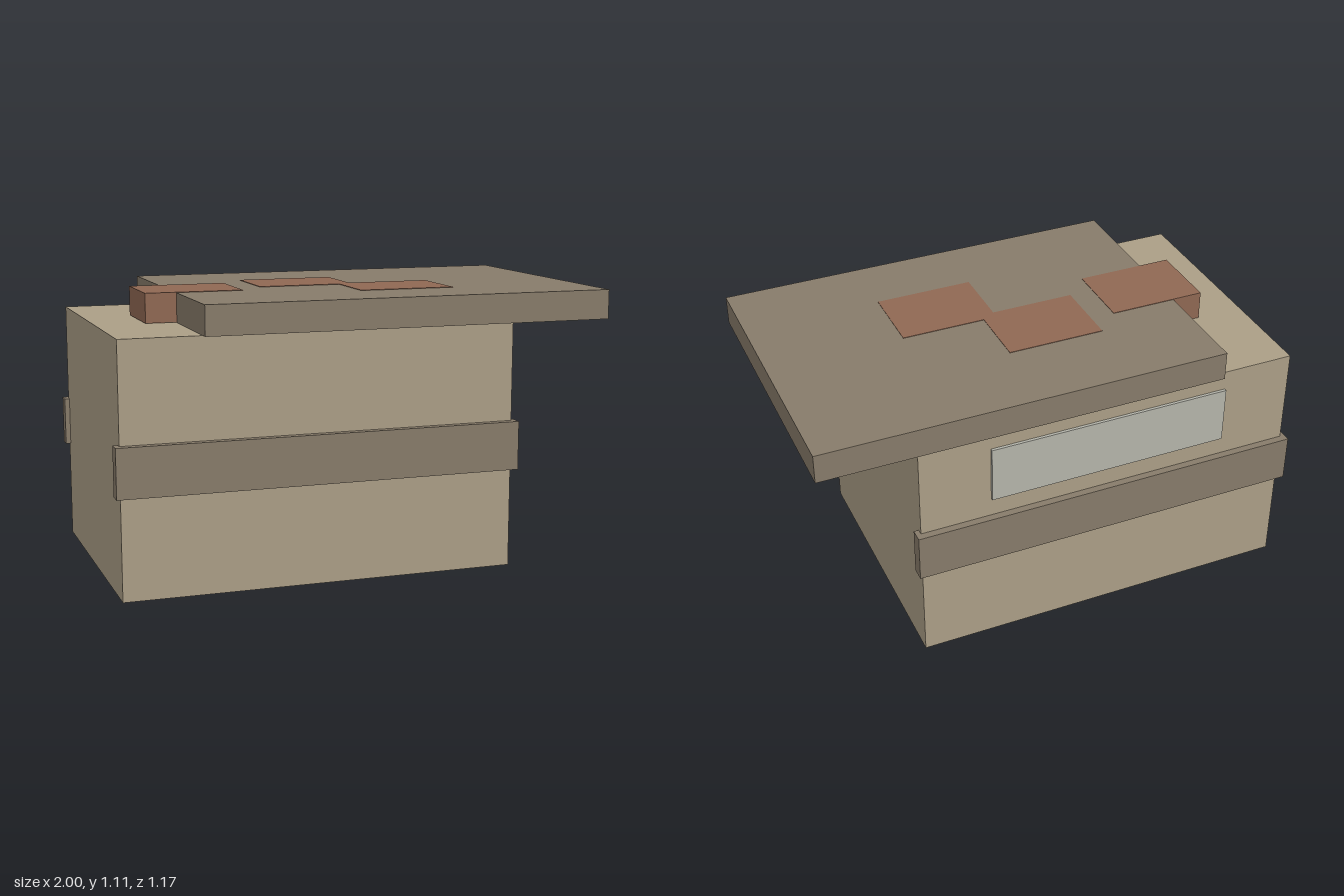
import * as THREE from 'three';

const paint = (color) => new THREE.MeshStandardMaterial({ color });

export function createModel() {
  const model = new THREE.Group();
  const tan = paint(0xab9e86);
  const brown = paint(0x877b6a);
  const rust = paint(0x8f6853);
  const pale = paint(0xb4b4aa);

  // Box given by its [min, max] extents on each axis
  const addBox = (name, material, [x0, x1], [y0, y1], [z0, z1]) => {
    const box = new THREE.Mesh(new THREE.BoxGeometry(x1 - x0, y1 - y0, z1 - z0), material);
    box.position.set((x0 + x1) / 2, (y0 + y1) / 2, (z0 + z1) / 2);
    box.name = name;
    model.add(box);
  };

  // Main block and the overhanging slab on top
  addBox('body', tan, [-0.98, 0.6], [0, 0.99], [-0.545, 0.545]);
  addBox('roofSlab', brown, [-0.66, 1], [0.99, 1.108], [-0.584, 0.584]);

  // Bands half sunk into the front and back
  addBox('frontBand', brown, [-1, 0.62], [0.4, 0.595], [0.52, 0.575]);
  addBox('backBand', brown, [-1, 0.62], [0.4, 0.595], [-0.575, -0.52]);

  // Thin panel on the back
  addBox('backPanel', pale, [-0.69, 0.31], [0.675, 0.91], [-0.557, -0.54]);

  // Rust patches set into the slab, a hair proud of its top
  const patches = [[-0.785, -0.15], [-0.29, -0.25], [0.05, 0.01]];
  patches.forEach(([x, z], i) =>
    addBox(`rustPatch${i + 1}`, rust, [x, x + 0.395], [0.992, 1.11], [z, z + 0.295]));

  return model;
}
